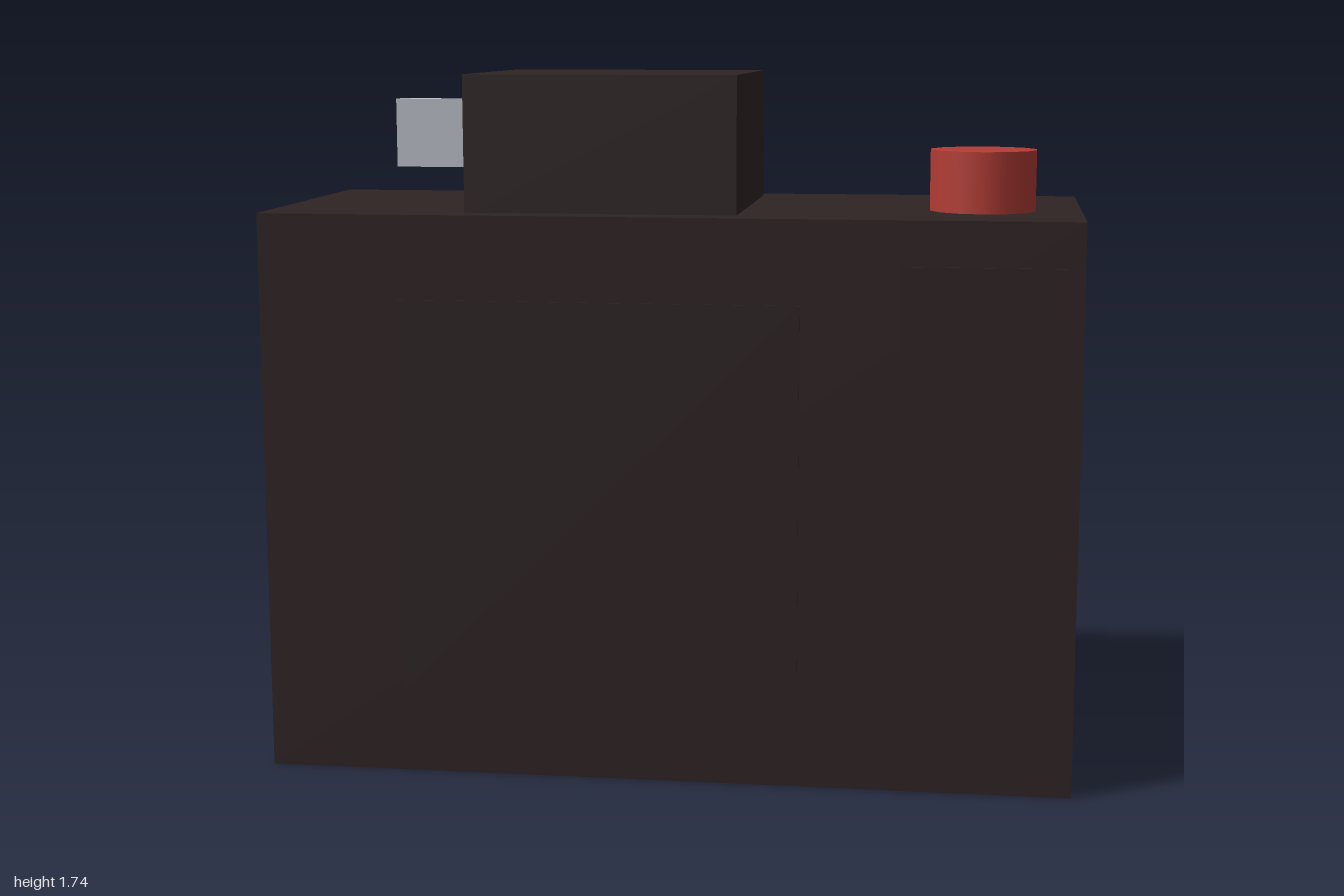
import * as THREE from 'three';

const material = (name, color) => {
  const m = new THREE.MeshStandardMaterial({ color });
  m.name = name;
  return m;
};

export function createModel() {
  const group = new THREE.Group();
  const casing = material('dark casing', 0x2f2424);
  const glass = material('blue glass', 0x3a4f70);
  const red = material('red button', 0xb33c35);
  const silver = material('silver', 0xbcc0c8);
  const SIDES = 14;

  const add = (name, geometry, mat) => {
    const mesh = new THREE.Mesh(geometry, mat);
    mesh.name = name;
    group.add(mesh);
  };

  // Box given by its extents along each axis
  const box = (name, mat, [x0, x1], [y0, y1], [z0, z1]) => {
    const g = new THREE.BoxGeometry(x1 - x0, y1 - y0, z1 - z0);
    g.translate((x0 + x1) / 2, (y0 + y1) / 2, (z0 + z1) / 2);
    add(name, g, mat);
  };

  // Round part along z, pointing towards -z
  const barrel = (name, mat, rBase, rEnd, zBase, zEnd) => {
    const g = new THREE.CylinderGeometry(rEnd, rBase, zBase - zEnd, SIDES);
    g.rotateX(-Math.PI / 2);
    g.translate(-0.163, 0.703, (zBase + zEnd) / 2);
    add(name, g, mat);
  };

  // Body, hand grip and viewfinder housing
  box('body', casing, [-1, 1], [0, 1.4], [-0.06, 0.738]);
  box('grip', casing, [0.57, 0.999], [0.001, 1.29], [-0.256, 0.742]);
  box('viewfinderHousing', casing, [-0.5, 0.17], [1.39, 1.735], [0.02, 0.66]);
  box('backScreen', casing, [-0.653, 0.33], [0.207, 1.193], [0.736, 0.741]);

  // Flash plate beside the housing
  box('flashPlate', silver, [-0.84, -0.5], [1.47, 1.655], [-0.035, 0.018]);

  // Flared lens barrel and its glass
  barrel('lensBarrel', casing, 0.454, 0.505, -0.05, -0.713);
  barrel('lensGlass', glass, 0.346, 0.346, -0.7, -0.755);

  // Shutter button
  const button = new THREE.CylinderGeometry(0.133, 0.133, 0.16, SIDES);
  button.translate(0.757, 1.47, 0.418);
  add('shutterButton', button, red);

  return group;
}
